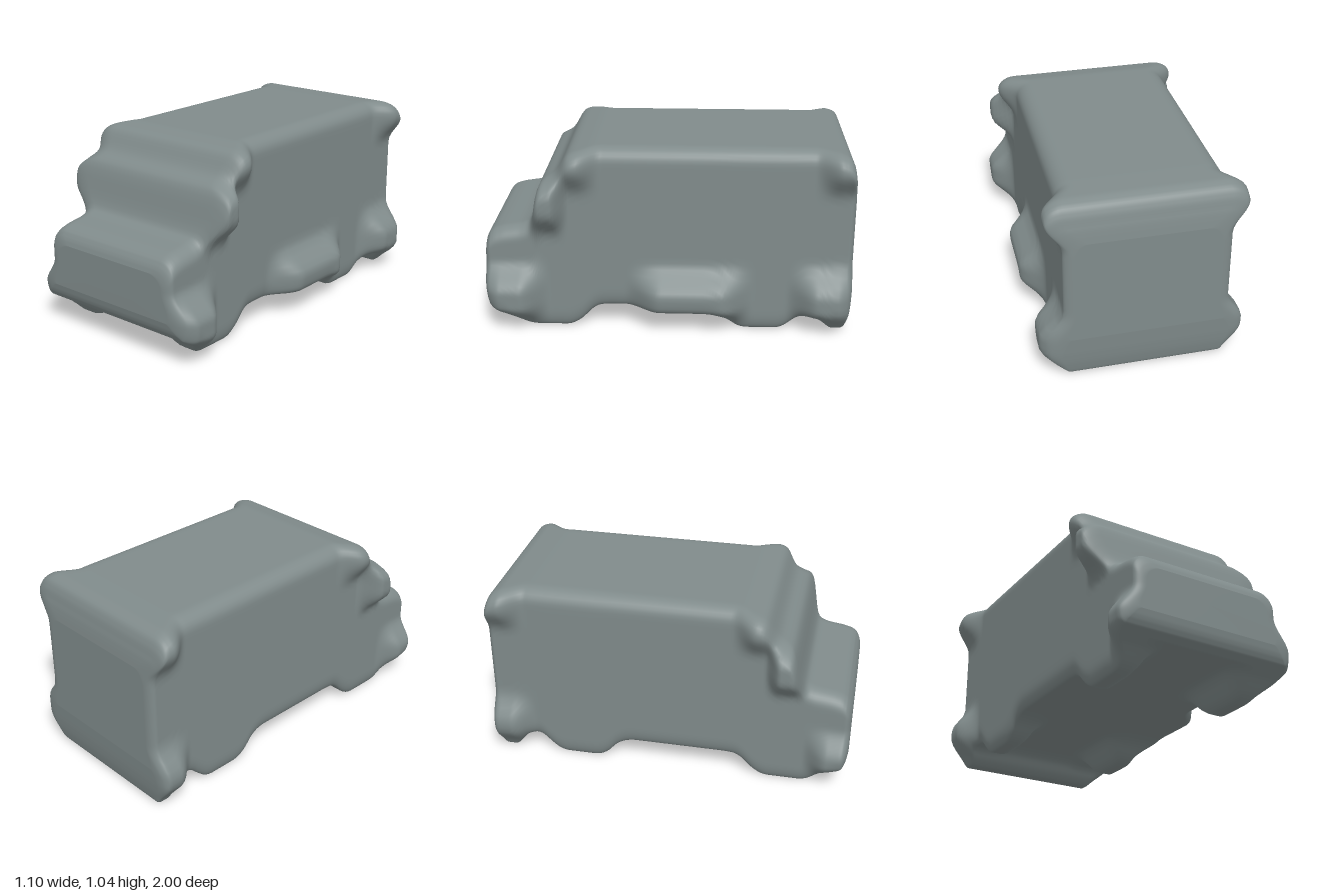
import * as THREE from 'three';

const { smoothstep, lerp } = THREE.MathUtils;

// Side profile of roof and of the wheel line: [z, y] pairs from rear to front
const ROOF = [[-1, .82], [-.99, .9], [-.975, .97], [-.95, 1.01], [-.9, 1.03], [-.75, 1.037], [.4, 1.037], [.5, 1.02],
  [.54, 1], [.57, .94], [.6, .9], [.66, .865], [.685, .84], [.7, .79], [.715, .7], [.73, .64], [.75, .61],
  [.8, .59], [.9, .575], [.95, .56], [.985, .53], [1, .48]];
const FLOOR = [[-1, .25], [-.985, .06], [-.965, .005], [-.89, .005], [-.86, .04], [-.82, .1], [-.77, .11], [-.73, .1],
  [-.68, .05], [-.64, .015], [-.6, 0], [-.42, 0], [-.38, .01], [-.34, .04], [-.3, .09], [-.25, .12], [-.2, .13],
  [.32, .13], [.38, .125], [.42, .1], [.47, .045], [.51, .015], [.55, 0], [.74, 0], [.78, .008], [.82, .035],
  [.88, .1], [.97, .155], [.985, .17], [1, .24]];

// Side swellings: sides, z centre, z flat, z fade, y centre, y flat, y fade, amount
const BUMPS = [
  [[-1, 1], .65, .03, .09, .745, .04, .17, .12],   // windscreen pillars
  [[-1, 1], .5, .01, .14, .96, .02, .17, .085],    // front roof corners
  [[-1, 1], -.94, .03, .14, .96, .02, .17, .085],  // rear roof corners
  [[1], .86, .05, .17, .2, .04, .16, .12],         // front bumper end
  [[-1], .92, .03, .14, .2, .02, .16, .085],
  [[1], -.86, .05, .17, .2, .04, .16, .12],        // rear bumper end
  [[-1], -.92, .03, .14, .2, .02, .16, .085],
  [[1], -.12, .16, .2, .2, .04, .14, .12],         // side step
];

function along(points, z) {
  if (z <= points[0][0]) return points[0][1];
  for (let i = 1; i < points.length; i++) {
    const [z0, y0] = points[i - 1], [z1, y1] = points[i];
    if (z <= z1) return lerp(y0, y1, (z - z0) / (z1 - z0));
  }
  return points[points.length - 1][1];
}

// Profile slightly softened, but exact at both ends
function soft(points, z) {
  const h = Math.min(.015, 1 - Math.abs(z));
  return (along(points, z - h) + 2 * along(points, z) + along(points, z + h)) / 4;
}

const plateau = (v, centre, flat, fade) => 1 - smoothstep(Math.abs(v - centre), flat, flat + fade);

const roundOff = (d, h) => {
  const k = Math.max(0, 1 - d / h);
  return 1 - Math.sqrt(1 - k * k);
};

function sideX(side, y, z, bottom, top) {
  let w = .43;
  for (const [sides, zc, zf, zd, yc, yf, yd, amount] of BUMPS) {
    if (sides.includes(side)) w += amount * plateau(z, zc, zf, zd) * plateau(y, yc, yf, yd);
  }
  w -= .09 * roundOff(top - y, .08) + .035 * roundOff(y - bottom, .1);
  w -= .06 * roundOff(1 - Math.abs(z), .035);
  return side * w;
}

// One closed cross-section, counter-clockwise seen from the front
function section(z) {
  const top = soft(ROOF, z), bottom = soft(FLOOR, z);
  const middle = lerp(bottom, Math.max(bottom, .13), smoothstep(z, -.84, -.74));
  const ring = [], ACROSS = 28, UP = 36;
  const ends = (y) => [sideX(-1, y, z, bottom, top), sideX(1, y, z, bottom, top)];
  const [bl, br] = ends(bottom), [tl, tr] = ends(top);
  const height = (i) => lerp(bottom, top, (1 - Math.cos(Math.PI * i / UP)) / 2);
  for (let i = 0; i < ACROSS; i++) {
    const x = lerp(bl, br, i / ACROSS);
    ring.push([x, lerp(middle, bottom, smoothstep(Math.abs(x), .2, .33))]);
  }
  for (let i = 0; i < UP; i++) ring.push([sideX(1, height(i), z, bottom, top), height(i)]);
  for (let i = 0; i < ACROSS; i++) ring.push([lerp(tr, tl, i / ACROSS), top]);
  for (let i = UP; i > 0; i--) ring.push([sideX(-1, height(i), z, bottom, top), height(i)]);
  return ring;
}

function bodyGeometry() {
  const positions = [], index = [], RINGS = 190;
  let n = 0;
  for (let i = 0; i <= RINGS; i++) {
    const z = Math.sin((i / RINGS - .5) * Math.PI);
    const ring = section(z);
    n = ring.length;
    for (const [x, y] of ring) positions.push(x, y, z);
  }
  for (let i = 0; i < RINGS; i++) {
    for (let j = 0; j < n; j++) {
      const a = i * n + j, b = i * n + (j + 1) % n;
      index.push(a, b, a + n, b, b + n, a + n);
    }
  }
  // Rear and front panels
  const rear = positions.length / 3, front = rear + 1, last = RINGS * n;
  positions.push(0, .53, -1, 0, .36, 1);
  for (let j = 0; j < n; j++) {
    const k = (j + 1) % n;
    index.push(k, j, rear, last + j, last + k, front);
  }
  const geometry = new THREE.BufferGeometry();
  geometry.setAttribute('position', new THREE.Float32BufferAttribute(positions, 3));
  geometry.setIndex(index);
  geometry.computeVertexNormals();
  return geometry;
}

export function createModel() {
  const group = new THREE.Group();
  group.name = 'van';
  const grey = new THREE.MeshStandardMaterial({ color: 0x808b8b });
  grey.name = 'slate grey';
  const body = new THREE.Mesh(bodyGeometry(), grey);
  body.name = 'vanBody';
  group.add(body);
  return group;
}
